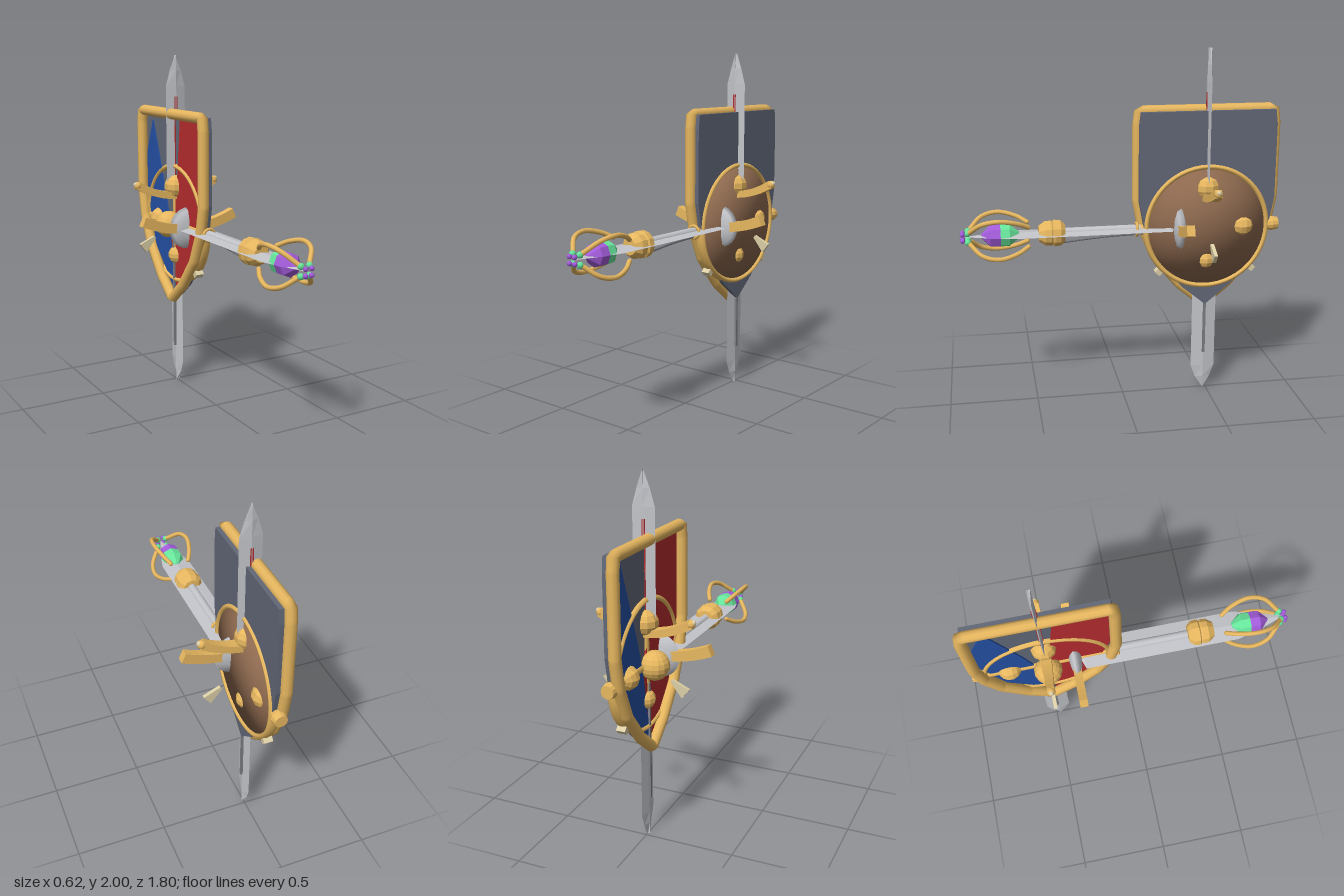
import * as THREE from 'three';

const mat = (name, color) => Object.assign(new THREE.MeshStandardMaterial({ color }), { name });
const gold = mat('gold', 0xe8b860), steel = mat('steel', 0xc3c5ca), slate = mat('slate', 0x626878);
const wood = mat('wood', 0x8c684e), red = mat('red', 0xb52c2e), blue = mat('blue', 0x2450a4);
const purple = mat('purple', 0xa45cdc), green = mat('green', 0x68e69c), pale = mat('pale gold', 0xdccfa6);
const dark = mat('dark steel', 0x7c7e84);
const CZ = -0.48, CY = 1.0;
const V = (x, y, z) => new THREE.Vector3(x, y, z);

export function createModel() {
  const root = new THREE.Group();
  const add = (name, geo, m, x = 0, y = 0, z = 0, parent = root) => {
    const mesh = new THREE.Mesh(geo, m);
    mesh.name = name;
    mesh.position.set(x, y, z);
    parent.add(mesh);
    return mesh;
  };
  const flat = (g) => {
    const n = g.index ? g.toNonIndexed() : g;
    n.computeVertexNormals();
    return n;
  };
  // Solid of revolution along +z; profile is [radius, z]
  const latheZ = (profile, sides) => new THREE.LatheGeometry(
    profile.map(([r, z]) => new THREE.Vector2(r, z)), sides).rotateX(Math.PI / 2);
  // Diamond-section blade along +y; rows are [y, halfWidth, halfThickness]
  const blade = (rows) => {
    const pos = [], idx = [];
    rows.forEach(([y, w, t]) => pos.push(w, y, 0, 0, y, t, -w, y, 0, 0, y, -t));
    for (let i = 0; i < rows.length - 1; i++) {
      for (let j = 0; j < 4; j++) {
        const a = i * 4 + j, b = i * 4 + (j + 1) % 4;
        idx.push(a, a + 4, b, b, a + 4, b + 4);
      }
    }
    const g = new THREE.BufferGeometry();
    g.setAttribute('position', new THREE.Float32BufferAttribute(pos, 3));
    g.setIndex(idx);
    return flat(g);
  };
  // Plate in the yz plane, thickness growing toward -x; points are [z, y]
  const plate = (pts, depth) => new THREE.ExtrudeGeometry(
    new THREE.Shape(pts.map(([z, y]) => new THREE.Vector2(z, y))),
    { depth, bevelEnabled: false }).rotateY(-Math.PI / 2);
  // Curved bar: arc rising at its ends in the xy plane, narrowing in depth by taper
  const arcBar = (half, rise, height, depth, taper) => {
    const g = new THREE.BoxGeometry(half * 2, height, depth, 16, 1, 1);
    const p = g.attributes.position;
    for (let i = 0; i < p.count; i++) {
      const u = p.getX(i) / half;
      p.setX(i, p.getX(i) - p.getY(i) * u * rise * 2 / half);
      p.setY(i, p.getY(i) + rise * u * u);
      p.setZ(i, p.getZ(i) * (1 - taper * Math.abs(u)));
    }
    return flat(g);
  };

  // Heater shield: slate board, gold frame, coloured panels on the -x face
  const side = [[0.38, 1.66], [0.39, 1.58], [0.39, 1.16], [0.36, 1.0], [0.28, 0.82], [0.14, 0.65]];
  const outline = [...side, [0, 0.535], ...side.map(([z, y]) => [-z, y]).reverse()];
  add('heaterBoard', plate(outline, 0.03), slate, 0.025, 0, CZ);
  const path = new THREE.CatmullRomCurve3(
    outline.map(([z, y]) => V(-0.031, y, CZ + z)), true, 'catmullrom', 0);
  add('heaterFrame', new THREE.TubeGeometry(path, 160, 0.032, 10, true), gold);
  add('redPanel', plate([[0.08, 1.63], [0.36, 1.63], [0.36, 1.16], [0.25, 0.82], [0.02, 0.57],
    [-0.06, 0.98], [0.03, 1.2]], 0.009), red, -0.005, 0, CZ);
  add('bluePanel', plate([[-0.28, 1.6], [-0.36, 1.4], [-0.36, 1.14], [-0.25, 0.82], [0.02, 0.56],
    [-0.06, 0.98], [-0.12, 1.17]], 0.009), blue, -0.005, 0, CZ);

  // Round shield: shallow dome that keeps rounded shading, with rim and boss
  const dome = new THREE.SphereGeometry(0.35, 40, 24);
  const dp = dome.attributes.position;
  for (let i = 0; i < dp.count; i++) dp.setX(i, dp.getX(i) * 0.06);
  add('roundShieldDome', dome, wood, 0.019, CY, CZ);
  add('roundShieldRim', new THREE.TorusGeometry(0.348, 0.017, 10, 56).rotateY(Math.PI / 2), gold, 0.006, CY, CZ)
    .scale.x = 1.9;
  add('shieldBoss', flat(new THREE.SphereGeometry(0.08, 14, 10)), gold, -0.052, CY, CZ);
  for (const s of [-1, 1]) {
    add('rimStud', new THREE.BoxGeometry(0.05, 0.035, 0.045), pale, 0.0, 0.748, CZ + s * 0.267)
      .rotation.x = s * Math.PI / 4;
  }

  // Upright sword
  const up = new THREE.Group();
  up.name = 'uprightSword';
  up.position.z = CZ;
  root.add(up);
  add('blade', blade([[1.18, 0.062, 0.012], [1.82, 0.062, 0.012], [1.91, 0.036, 0.011], [2, 0, 0.01]]), steel, 0, 0, 0, up);
  for (const x of [-0.009, 0.003]) add('redFuller', new THREE.BoxGeometry(0.006, 0.54, 0.026), red, x, 1.49, 0, up);
  add('guard', arcBar(0.255, 0.075, 0.04, 0.07, 0.45), gold, 0, 1.175, 0, up);
  for (const s of [-1, 1]) {
    add('guardBall', new THREE.SphereGeometry(0.024, 12, 8), gold, s * 0.254, 1.248, 0, up);
    add('guardTip', new THREE.SphereGeometry(0.015, 10, 8), pale, s * 0.266, 1.256, 0, up);
  }
  add('grip', new THREE.CylinderGeometry(0.02, 0.02, 0.38, 12), gold, 0, 1, 0, up);
  add('pommel', flat(new THREE.SphereGeometry(0.055, 10, 7)), gold, 0.003, 0.805, 0, up);

  // Downward sword
  const down = new THREE.Group();
  down.name = 'downwardSword';
  down.position.z = CZ;
  down.rotation.set(0, Math.PI / 2, Math.PI);
  root.add(down);
  add('blade', blade([[-0.92, 0.07, 0.012], [-0.14, 0.07, 0.012], [-0.07, 0.045, 0.012], [0, 0, 0.011]]), steel, 0, 0, 0, down);
  add('fuller', new THREE.BoxGeometry(0.014, 0.67, 0.048), dark, 0, -0.565, 0, down);
  add('grip', new THREE.CylinderGeometry(0.02, 0.02, 0.34, 12), gold, 0, -1.06, 0, down);
  add('pommel', flat(new THREE.SphereGeometry(0.072, 10, 7)), gold, 0, -1.228, 0, down);
  // Flared quillon ends either side
  const flare = new THREE.Shape([[0, 0.008], [0, -0.008], [0.1, -0.032], [0.1, 0.032]].map(([x, y]) => new THREE.Vector2(x, y)));
  for (const s of [-1, 1]) {
    const g = new THREE.ExtrudeGeometry(flare, { depth: 0.02, bevelEnabled: false }).translate(0, 0, -0.01);
    const m = add('flaredQuillon', g, pale, s * 0.148, 0.932, CZ);
    m.rotation.z = s > 0 ? -0.66 : Math.PI + 0.66;
  }

  // Forward sword
  const fwd = new THREE.Group();
  fwd.name = 'forwardSword';
  fwd.position.y = CY;
  fwd.rotation.x = Math.PI / 2;
  root.add(fwd);
  add('blade', blade([[-0.3, 0, 0], [-0.27, 0.085, 0.012], [0.6, 0.085, 0.012], [0.74, 0.05, 0.01], [0.88, 0, 0]]), steel, 0, 0, 0, fwd);
  add('grip', new THREE.CylinderGeometry(0.02, 0.02, 0.36, 12), gold, 0, -0.5, 0, fwd);
  add('pommel', flat(new THREE.SphereGeometry(0.066, 10, 7)), gold, 0, -0.69, 0, fwd);
  add('forwardGuard', arcBar(0.3, 0.065, 0.055, 0.045, 0), gold, 0, 1.0, -0.322);
  add('guardDisc', latheZ([[0, -0.36], [0.07, -0.35], [0.125, -0.33], [0.11, -0.305], [0.06, -0.29], [0, -0.285]], 24), steel, 0, CY, 0);

  // Staff: gold handle behind, steel shaft ahead, with pommel, ring and collar
  add('staffHandle', new THREE.CylinderGeometry(0.024, 0.024, 0.75, 14).rotateX(Math.PI / 2), gold, 0, CY, -0.475);
  add('staffShaft', new THREE.CylinderGeometry(0.024, 0.024, 0.45, 14).rotateX(Math.PI / 2), steel, 0, CY + 0.003, 0.125);
  add('staffNeck', new THREE.CylinderGeometry(0.012, 0.012, 0.25, 10).rotateX(Math.PI / 2), dark, 0, CY, 0.465);
  add('staffPommel', flat(latheZ([[0, -0.9], [0.035, -0.9], [0.042, -0.865], [0.035, -0.83], [0, -0.83]], 12)), gold, 0, CY, 0);
  add('staffRing', new THREE.TorusGeometry(0.035, 0.009, 8, 20), gold, 0, CY, -0.08);
  add('staffCollar', flat(latheZ([[0, 0.32], [0.05, 0.325], [0.073, 0.35], [0.076, 0.385], [0.066, 0.393],
    [0.072, 0.402], [0.07, 0.435], [0.045, 0.47], [0, 0.47]], 12)), gold, 0, CY, 0);
  add('underCord', new THREE.TubeGeometry(new THREE.CatmullRomCurve3(
    [V(0, 0.975, -0.12), V(0, 0.967, 0.1), V(0, 0.94, 0.4)]), 16, 0.008, 6), dark);

  // Two-colour gem
  add('gemBack', flat(latheZ([[0, 0.575], [0.02, 0.58], [0.062, 0.63], [0.064, 0.68]], 8)), green, 0, CY, 0);
  add('gemFront', flat(latheZ([[0.064, 0.68], [0.062, 0.735], [0, 0.795]], 8)), purple, 0, CY, 0);

  // Cage of four diagonal prongs, each ending in beads
  const prong = new THREE.CatmullRomCurve3([V(0.078, 0, 0.53), V(0.12, 0, 0.59), V(0.15, 0, 0.69),
    V(0.125, 0, 0.78), V(0.045, 0, 0.848)]);
  for (let i = 0; i < 4; i++) {
    const g = new THREE.Group();
    g.name = 'cageProng';
    g.position.y = CY;
    g.rotation.z = Math.PI / 4 + i * Math.PI / 2;
    root.add(g);
    add('prong', new THREE.TubeGeometry(prong, 24, 0.013, 8), gold, 0, 0, 0, g);
    add('prongCap', new THREE.SphereGeometry(0.013, 8, 6), gold, 0.078, 0, 0.53, g);
    add('greenBead', new THREE.SphereGeometry(0.018, 8, 6), green, 0.036, 0, 0.857, g);
    add('purpleBead', new THREE.SphereGeometry(0.014, 8, 6), purple, 0.025, 0, 0.886, g);
  }
  return root;
}
